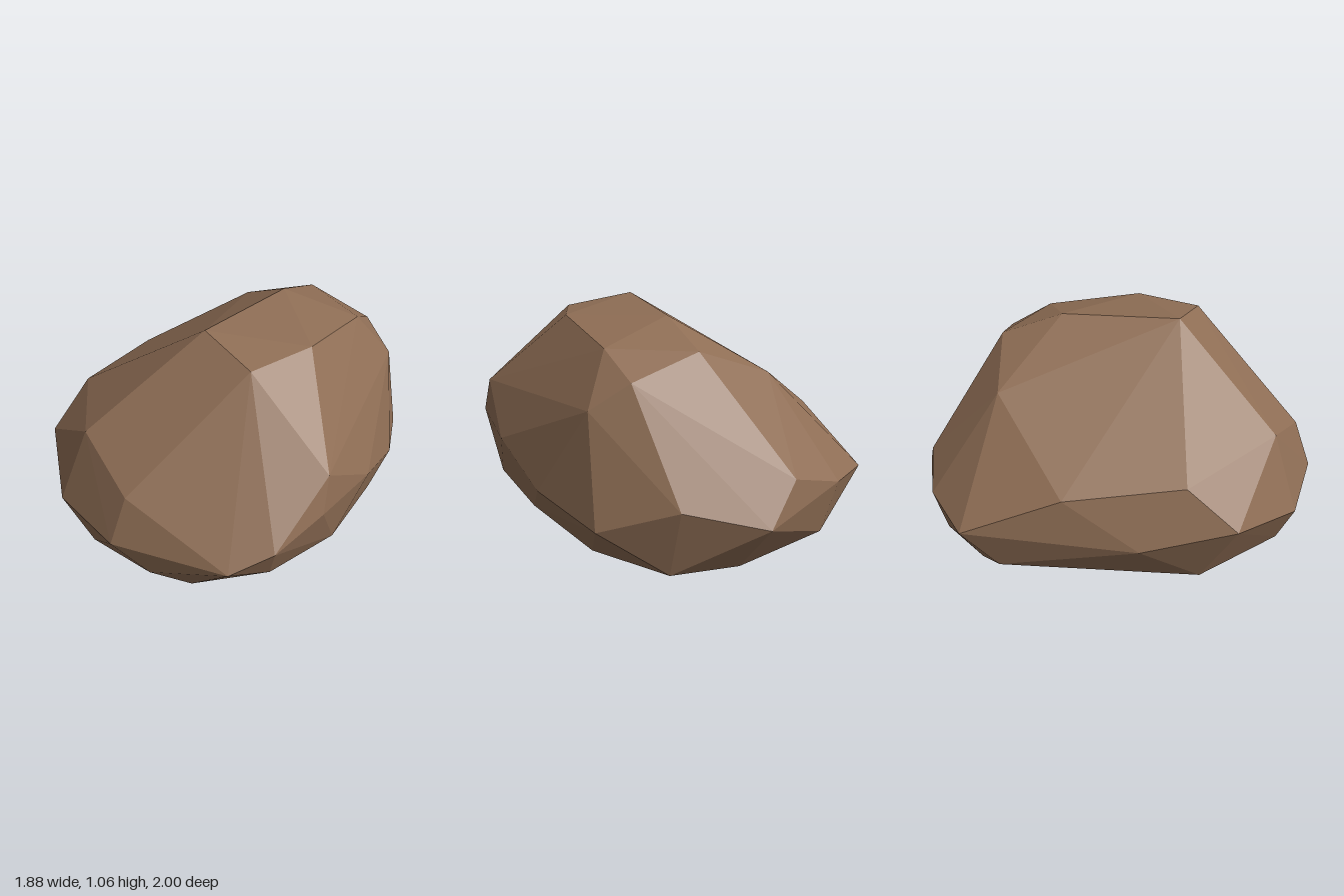
import * as THREE from 'three';
import { ConvexGeometry } from 'three/addons/geometries/ConvexGeometry.js';

// corners of the rock above the ground
const corners = [
  // crown
  [-0.2, 1.06, 0.2], [-0.1, 1.0, 0.51], [0.23, 1.01, 0.43], [0.32, 1.04, -0.08],
  [0.62, 0.94, 0.15], [0.77, 0.83, 0], [0.57, 0.93, -0.26], [0.32, 0.79, -0.55],
  // shoulders
  [0.81, 0.71, 0.18], [0.12, 0.64, 0.88], [-0.71, 0.5, 0.55], [-0.79, 0.63, 0.18],
  [-0.66, 0.56, -0.36], [-0.23, 0.5, -0.72], [0.68, 0.41, -0.7],
  // widest belt
  [-0.94, 0.26, 0.17], [-0.8, 0.27, 0.57], [-0.38, 0.29, 0.96], [-0.18, 0.38, 1.0],
  [0.08, 0.47, 0.93], [0.42, 0.43, 0.72], [0.71, 0.29, 0.45], [0.93, 0.21, 0.13],
  [0.94, 0.33, -0.24], [0.83, 0.23, -0.61], [0.47, 0.33, -0.89], [0.16, 0.3, -1.0],
  [-0.55, 0.27, -0.56], [-0.88, 0.36, -0.26],
  // undercut
  [-0.65, 0.12, 0.66], [-0.15, 0.16, 0.89], [0.21, 0.18, 0.8], [0.56, 0.15, 0.52],
  [0.47, 0.08, -0.82], [0.05, 0.09, -0.87],
];

// rim on the ground (x, z); one corner is pulled in to make a notch
const rim = [
  [-0.46, 0.69], [0.06, 0.6], [0.68, 0.21], [0.86, -0.18], [0.72, -0.47],
  [0.24, -0.81], [-0.11, -0.62], [-0.68, -0.25], [-0.82, 0.24],
];
const [notchX, notchZ] = rim[6];
const notchDepth = 0.14;

export function createModel() {
  const group = new THREE.Group();
  group.name = 'rock';
  // the shell is open underneath, so its inside shows too
  const brown = new THREE.MeshStandardMaterial({ color: 0x8f6e55 });
  brown.side = THREE.DoubleSide;
  brown.name = 'rock brown';

  const base = rim.map(([x, z]) => [x, 0, z]);
  const hull = new ConvexGeometry([...corners, ...base].map((p) => new THREE.Vector3(...p)));
  const pos = hull.getAttribute('position');

  // keep the sides of the hull, leave the bottom open and pull in the notch
  const shell = [];
  for (let i = 0; i < pos.count; i += 3) {
    const tri = [0, 1, 2].map((k) => new THREE.Vector3().fromBufferAttribute(pos, i + k));
    if (tri.every((p) => p.y < 0.001)) continue;
    for (const p of tri) {
      if (p.y < 0.001 && Math.hypot(p.x - notchX, p.z - notchZ) < 0.001) p.z += notchDepth;
      shell.push(p.x, p.y, p.z);
    }
  }

  const geo = new THREE.BufferGeometry();
  geo.setAttribute('position', new THREE.Float32BufferAttribute(shell, 3));
  geo.computeVertexNormals();
  const body = new THREE.Mesh(geo, brown);
  body.name = 'rockShell';
  group.add(body);
  return group;
}
